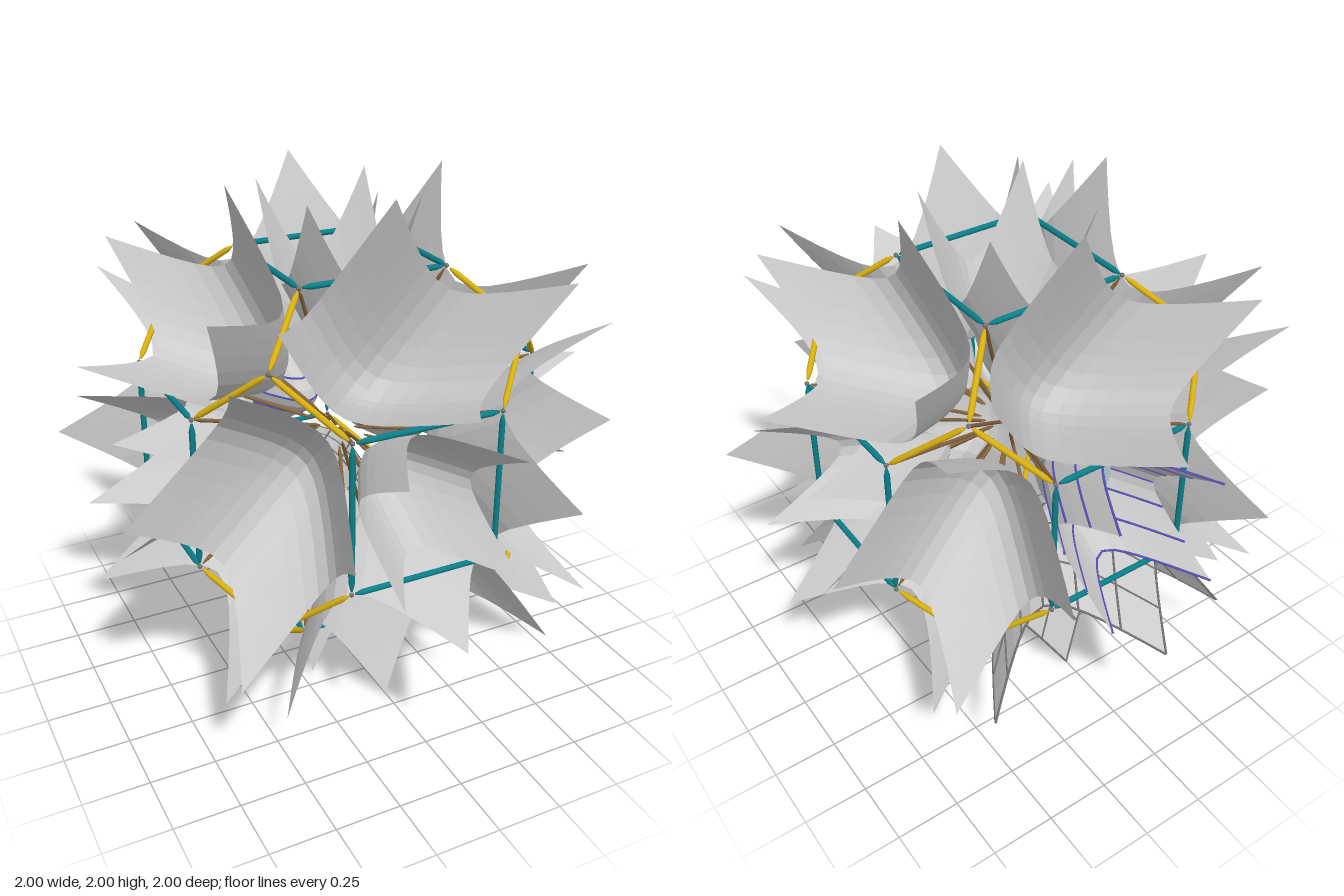
import * as THREE from 'three';

const SEG = 12;
const mat = (color, extra = {}) => new THREE.MeshStandardMaterial({ color, ...extra });
const shellMat = mat(0xcccccc, { flatShading: true, side: THREE.DoubleSide });
const teal = mat(0x0a7f8a), yellow = mat(0xd9b010), brown = mat(0x86653f);
const greyRod = mat(0x757575), blueRod = mat(0x5a52c0);
const greenDisc = mat(0x9dbfa8, { side: THREE.DoubleSide });
const blueDisc = mat(0xa8c8d0, { side: THREE.DoubleSide });

// Rounded V profile, 0 at the middle and 1 at the rim
const E = 0.36;
const fold = s => (Math.hypot(s, E) - E) / (Math.hypot(1, E) - E);

// The two kinds of shell: height of the middle, rise per direction, floor disc, plan mapping
const squareKind = {
  base: 0.27, rise: 0.343, disc: [0.14, 0.14, 0.47],
  plan: (s, t) => [0.225 * s, 0.225 * t],
};
const diamondKind = {
  base: 0.355, rise: 0.328, disc: [0.23, 0.17, 0.52],
  plan: (s, t) => [0.275 * (s - t), 0.2 * (s + t)],
};
const shellPoint = (kind, s, t) =>
  new THREE.Vector3(...kind.plan(s, t), kind.base + kind.rise * (fold(s) + fold(t)));

function shellGeometry(kind) {
  const g = new THREE.PlaneGeometry(2, 2, SEG, SEG);
  const p = g.attributes.position;
  for (let i = 0; i < p.count; i++) {
    const q = shellPoint(kind, p.getX(i), p.getY(i));
    p.setXYZ(i, q.x, q.y, q.z);
  }
  g.computeVertexNormals();
  return g;
}

// Rods along the shell in one or both directions, with a disc across its floor
function exposedRibs(kind, { rod, floor, directions }) {
  const group = new THREE.Group();
  group.name = 'exposedRibs';
  for (let i = -3; i <= 3; i++) {
    for (let d = 0; d < directions; d++) {
      const pts = [];
      for (let j = 0; j <= SEG; j++) {
        const a = i / 3, b = -1 + (2 * j) / SEG;
        pts.push(d === 0 ? shellPoint(kind, b, a) : shellPoint(kind, a, b));
      }
      const rib = new THREE.Mesh(
        new THREE.TubeGeometry(new THREE.CatmullRomCurve3(pts), 18, 0.0045, 5), rod);
      rib.name = 'rib';
      group.add(rib);
    }
  }
  const disc = new THREE.Mesh(new THREE.CircleGeometry(1, 40), floor);
  disc.scale.set(kind.disc[0], kind.disc[1], 1);
  disc.position.z = kind.disc[2];
  disc.name = 'floorDisc';
  group.add(disc);
  return group;
}

// Turns local +z to the outward direction, with local x along a given axis
function aim(obj, normal, xAxis) {
  const n = normal.clone().normalize();
  obj.quaternion.setFromRotationMatrix(
    new THREE.Matrix4().makeBasis(xAxis, n.clone().cross(xAxis), n));
}

// Strut with tapered ends between two points
function strut(a, b, r, material, name) {
  const gap = 0.015, taper = 0.03;
  const dir = b.clone().sub(a), len = dir.length() - 2 * gap;
  dir.normalize();
  const profile = [[0, 0], [r * 0.4, 0], [r, taper], [r, len - taper], [r * 0.4, len], [0, len]]
    .map(([x, y]) => new THREE.Vector2(x, y));
  const m = new THREE.Mesh(new THREE.LatheGeometry(profile, 10), material);
  m.position.copy(a).addScaledVector(dir, gap);
  m.quaternion.setFromUnitVectors(new THREE.Vector3(0, 1, 0), dir);
  m.name = name;
  return m;
}

export function createModel() {
  const model = new THREE.Group();
  const body = new THREE.Group();
  body.name = 'shellSphere';
  body.position.y = 1;
  model.add(body);

  const axes = [0, 1, 2].map(i => new THREE.Vector3().setComponent(i, 1));
  const squareGeo = shellGeometry(squareKind), diamondGeo = shellGeometry(diamondKind);

  const addShell = (geo, kind, normal, xAxis, name, ribs) => {
    const holder = new THREE.Group();
    holder.name = name;
    aim(holder, normal, xAxis);
    const skin = new THREE.Mesh(geo, shellMat);
    skin.name = 'shellSkin';
    holder.add(skin);
    if (ribs) holder.add(exposedRibs(kind, ribs));
    body.add(holder);
  };

  // Six square shells; the back one shows its ribs
  for (let i = 0; i < 3; i++) {
    for (const s of [1, -1]) {
      addShell(squareGeo, squareKind, axes[i].clone().multiplyScalar(s), axes[(i + 1) % 3],
        'squareShell',
        i === 2 && s === -1 ? { rod: blueRod, floor: blueDisc, directions: 1 } : null);
    }
  }
  // Twelve diamond shells; the lower back one shows its ribs
  for (let i = 0; i < 3; i++) {
    for (const s of [1, -1]) for (const t of [1, -1]) {
      const n = new THREE.Vector3()
        .addScaledVector(axes[(i + 1) % 3], s).addScaledVector(axes[(i + 2) % 3], t);
      addShell(diamondGeo, diamondKind, n, axes[i], 'diamondShell',
        i === 0 && s === -1 && t === -1 ? { rod: greyRod, floor: greenDisc, directions: 2 } : null);
    }
  }

  // Frame of a cube with chamfered edges, with struts running in towards the middle
  const A = 0.29, B = 0.695, C = 0.495;
  const frame = new THREE.Group();
  frame.name = 'frame';
  body.add(frame);
  const nodeGeo = new THREE.SphereGeometry(0.009, 8, 6);
  const addNode = p => {
    const m = new THREE.Mesh(nodeGeo, greyRod);
    m.position.copy(p);
    m.name = 'frameNode';
    frame.add(m, strut(p, p.clone().multiplyScalar(0.12), 0.007, brown, 'innerStrut'));
  };
  const signs = [[1, 1], [-1, 1], [-1, -1], [1, -1]];
  for (let i = 0; i < 3; i++) {
    const j = (i + 1) % 3, k = (i + 2) % 3;
    for (const side of [1, -1]) {
      const place = ([u, v], w, d) => new THREE.Vector3()
        .setComponent(i, d * side).setComponent(j, u * w).setComponent(k, v * w);
      signs.forEach((sg, q) => {
        const p = place(sg, A, B);
        frame.add(strut(p, place(signs[(q + 1) % 4], A, B), 0.011, teal, 'squareStrut'));
        frame.add(strut(p, place(sg, C, C), 0.011, yellow, 'cornerStrut'));
        addNode(p);
      });
    }
  }
  for (const x of [C, -C]) for (const y of [C, -C]) for (const z of [C, -C]) {
    addNode(new THREE.Vector3(x, y, z));
  }
  return model;
}
